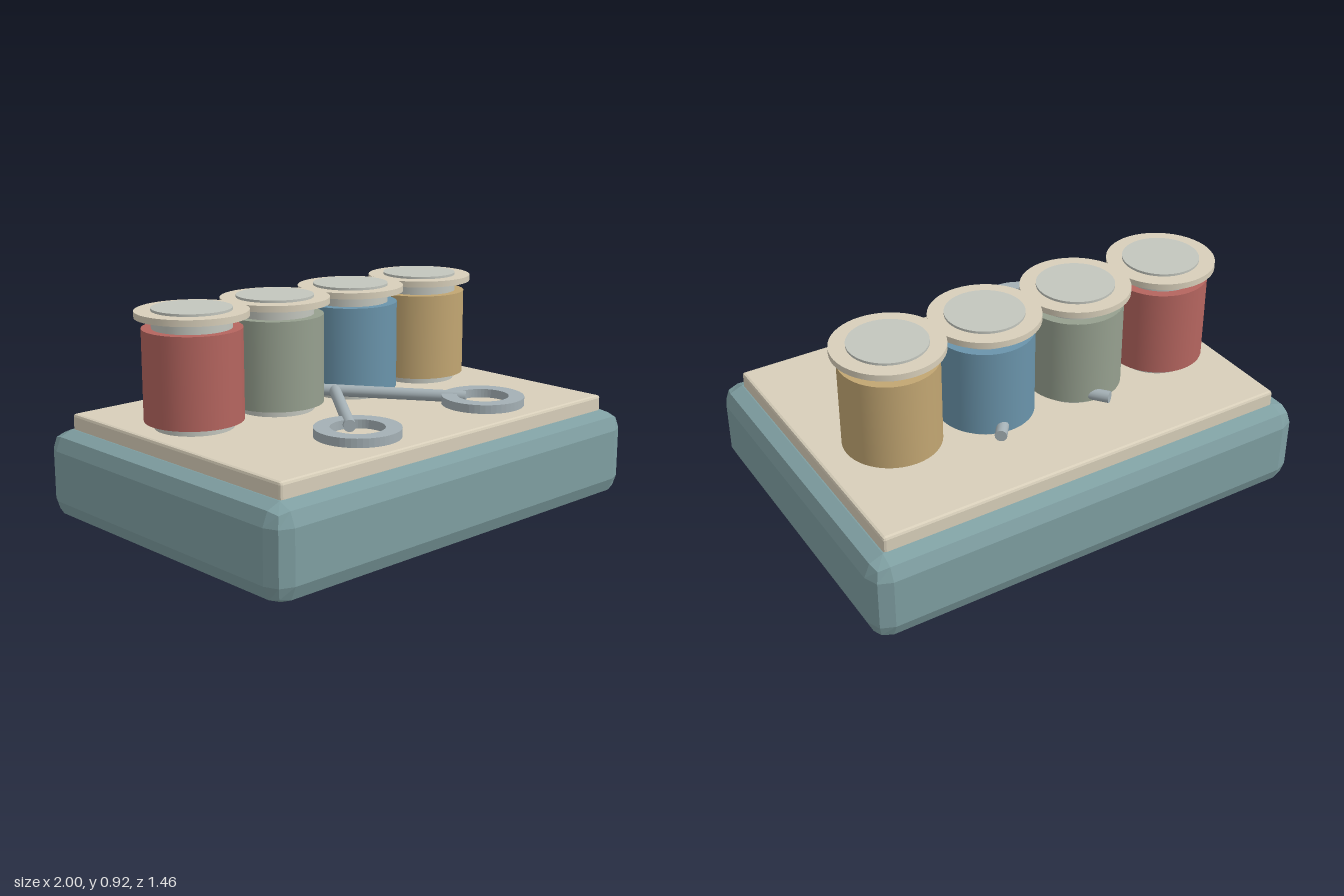
import * as THREE from 'three';
import { RoundedBoxGeometry } from 'three/addons/geometries/RoundedBoxGeometry.js';

const material = (color, flatShading = false) =>
  new THREE.MeshStandardMaterial({ color, flatShading });

function addPart(parent, name, geometry, mat, x = 0, y = 0, z = 0) {
  const mesh = new THREE.Mesh(geometry, mat);
  mesh.name = name;
  mesh.position.set(x, y, z);
  parent.add(mesh);
  return mesh;
}

export function createModel() {
  const model = new THREE.Group();
  model.name = 'sewingBox';

  const teal = material(0x7f9fa2, true);
  const creamFlat = material(0xd8cfba, true);
  const cream = material(0xd8cfba);
  const core = material(0xc3c6be);
  const steel = material(0xa4b0b5);

  // Box with coarsely rounded edges, and the tray lid on top
  addPart(model, 'box', new RoundedBoxGeometry(2, 0.375, 1.46, 1, 0.08), teal, 0, 0.1875, 0);
  addPart(model, 'lid', new RoundedBoxGeometry(1.83, 0.09, 1.3, 1, 0.012), creamFlat, 0, 0.395, 0);

  // Row of thread spools: core, wound thread and top flange
  const threads = [0xb5655f, 0x96a08f, 0x6a94ab, 0xc2a672];
  threads.forEach((color, i) => {
    const spool = new THREE.Group();
    spool.name = 'spool' + (i + 1);
    spool.position.set(-0.67 + i * 0.427, 0, -0.15);
    addPart(spool, 'core', new THREE.CylinderGeometry(0.16, 0.16, 0.49, 48), core, 0, 0.675);
    addPart(spool, 'thread', new THREE.CylinderGeometry(0.2, 0.2, 0.37, 48), material(color), 0, 0.655);
    addPart(spool, 'flange', new THREE.CylinderGeometry(0.226, 0.226, 0.026, 48), cream, 0, 0.897);
    model.add(spool);
  });

  // Open scissors: two crossing blades, each with a flat finger ring
  const scissors = new THREE.Group();
  scissors.name = 'scissors';
  const ringShape = new THREE.Shape().absarc(0, 0, 0.171, 0, Math.PI * 2);
  ringShape.holes.push(new THREE.Path().absarc(0, 0, 0.107, 0, Math.PI * 2, true));
  const ringGeometry = new THREE.ExtrudeGeometry(ringShape, {
    depth: 0.036, bevelEnabled: false, curveSegments: 24,
  });
  ringGeometry.rotateX(-Math.PI / 2);

  for (const side of [-1, 1]) {
    addPart(scissors, 'fingerRing', ringGeometry, steel, side * 0.36, 0.464, 0.46);
    const start = new THREE.Vector3(side * 0.335, 0.484, 0.39);
    const end = new THREE.Vector3(side * -0.26, 0.496, -0.395);
    const direction = end.clone().sub(start);
    const blade = addPart(scissors, 'blade',
      new THREE.CylinderGeometry(0.025, 0.025, direction.length(), 16), steel);
    blade.position.copy(start).add(end).multiplyScalar(0.5);
    blade.quaternion.setFromUnitVectors(new THREE.Vector3(0, 1, 0), direction.normalize());
  }
  model.add(scissors);

  return model;
}
